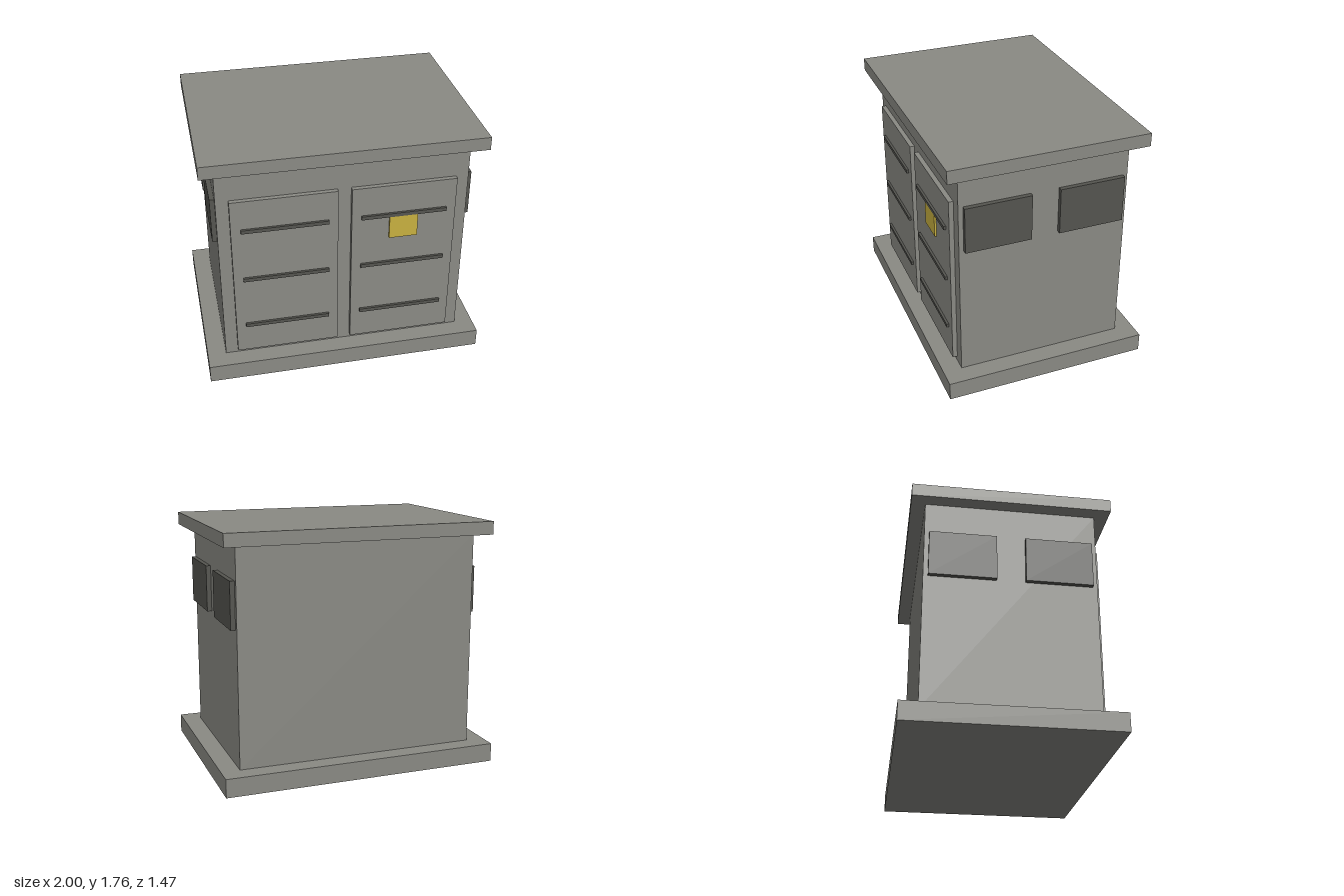
import * as THREE from 'three';

const material = (name, color) => {
  const m = new THREE.MeshStandardMaterial({ color });
  m.name = name;
  return m;
};

export function createModel() {
  const model = new THREE.Group();
  model.name = 'utilityCabinet';
  const concrete = material('concrete grey', 0x8a8a84);
  const dark = material('dark grey', 0x555550);
  const yellow = material('warning yellow', 0xc8b040);

  // Box given by its lower and upper limits on each axis
  const box = (name, mat, [x0, x1], [y0, y1], [z0, z1]) => {
    const mesh = new THREE.Mesh(new THREE.BoxGeometry(x1 - x0, y1 - y0, z1 - z0), mat);
    mesh.position.set((x0 + x1) / 2, (y0 + y1) / 2, (z0 + z1) / 2);
    mesh.name = name;
    model.add(mesh);
  };

  // Plinth, housing and overhanging roof
  box('base', concrete, [-1, 1], [0, 0.133], [-0.733, 0.733]);
  box('body', concrete, [-0.867, 0.867], [0.133, 1.67], [-0.6, 0.6]);
  box('roof', concrete, [-0.967, 0.967], [1.67, 1.763], [-0.7, 0.7]);

  for (const [side, s] of [['left', 1], ['right', -1]]) {
    const span = (a, b) => (s > 0 ? [a, b] : [-b, -a]);

    // Front door with three slats
    box(`${side}Door`, concrete, span(0.047, 0.78), [0.17, 1.433], [0.6, 0.633]);
    for (const y of [0.403, 0.803, 1.203]) {
      box(`${side}DoorSlat`, dark, span(0.113, 0.713), [y - 0.0135, y + 0.0135], [0.633, 0.65]);
    }

    // Two vent panels on the side wall
    box(`${side}FrontVent`, dark, span(0.867, 0.9), [1.1, 1.433], [0.1, 0.567]);
    box(`${side}BackVent`, dark, span(0.867, 0.9), [1.1, 1.433], [-0.567, -0.1]);
  }

  // Warning plate on the left door
  box('warningPlate', yellow, [0.31, 0.51], [1.017, 1.197], [0.634, 0.648]);

  return model;
}
